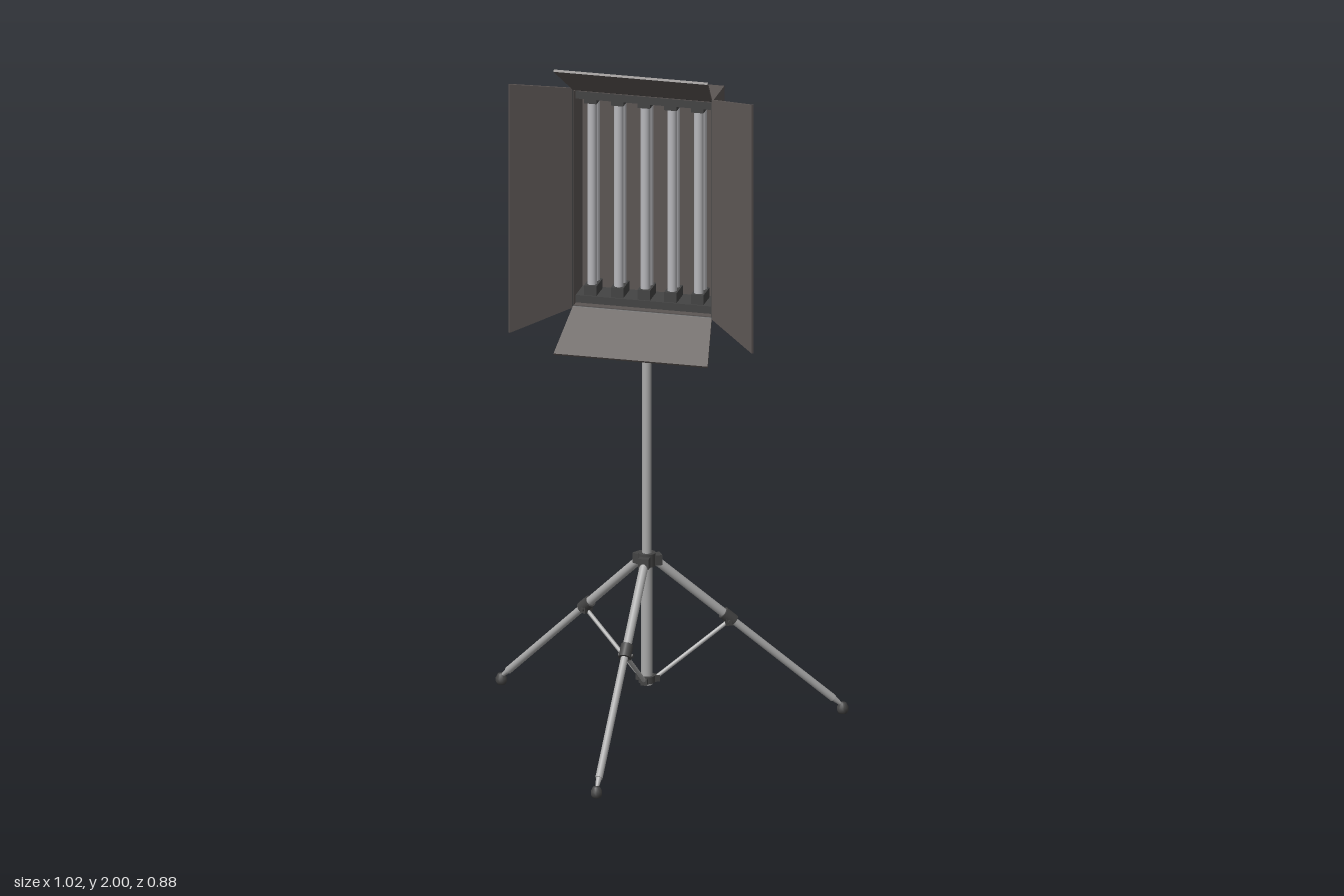
import * as THREE from 'three';

const paint = (color) => new THREE.MeshStandardMaterial({ color });
const BODY = paint(0x5c5654), STEEL = paint(0xaaaaaa), DARK = paint(0x444444), GLASS = paint(0xb8b8bc);
const V = (x, y, z) => new THREE.Vector3(x, y, z);
const AXIS_Z = -0.14; // the stand's column

function add(parent, name, geometry, material, x = 0, y = 0, z = 0) {
  const mesh = new THREE.Mesh(geometry, material);
  mesh.name = name;
  mesh.position.set(x, y, z);
  parent.add(mesh);
  return mesh;
}
const box = (p, name, mat, w, h, d, x, y, z) => add(p, name, new THREE.BoxGeometry(w, h, d), mat, x, y, z);

// Cylinder running from point a to point b
function rod(parent, name, mat, a, b, ra, rb = ra, sides = 16) {
  const geo = new THREE.CylinderGeometry(rb, ra, a.distanceTo(b), sides);
  const mesh = add(parent, name, geo, mat);
  mesh.position.copy(a).lerp(b, 0.5);
  mesh.quaternion.setFromUnitVectors(V(0, 1, 0), b.clone().sub(a).normalize());
  return mesh;
}

// One tripod leg, pointing along +z from the column
function makeLeg() {
  const leg = new THREE.Group();
  leg.name = 'leg';
  const top = V(0, 0.512, 0.018), foot = V(0, 0.022, 0.568);
  const at = (t) => top.clone().lerp(foot, t);
  rod(leg, 'upperLegTube', STEEL, top, at(0.42), 0.0125);
  rod(leg, 'lowerLegTube', STEEL, at(0.4), at(0.95), 0.0105);
  rod(leg, 'legTip', STEEL, at(0.95), at(0.99), 0.0085, 0.005);
  rod(leg, 'legClamp', DARK, at(0.37), at(0.425), 0.0175);
  box(leg, 'clampLug', DARK, 0.03, 0.022, 0.02, 0, 0.306, 0.236);
  rod(leg, 'clampBolt', DARK, V(-0.021, 0.306, 0.236), V(0.021, 0.306, 0.236), 0.006, 0.006, 8);
  rod(leg, 'brace', STEEL, V(0, 0.156, 0.024), V(0, 0.302, 0.234), 0.006, 0.006, 8);
  box(leg, 'hubBracket', DARK, 0.03, 0.03, 0.03, 0, 0.508, 0.026);
  box(leg, 'braceBracket', DARK, 0.018, 0.018, 0.02, 0, 0.156, 0.026);
  add(leg, 'rubberFoot', new THREE.LatheGeometry([
    [0, 0], [0.012, 0], [0.016, 0.008], [0.016, 0.018], [0.01, 0.03], [0, 0.033],
  ].map(([r, y]) => new THREE.Vector2(r, y)), 16), DARK, 0, 0, foot.z);
  return leg;
}

function makeStand() {
  const stand = new THREE.Group();
  stand.name = 'stand';
  stand.position.z = AXIS_Z;
  for (let i = 0; i < 3; i++) {
    const leg = makeLeg();
    leg.rotation.y = (i * Math.PI * 2) / 3;
    stand.add(leg);
  }
  rod(stand, 'lowerColumn', STEEL, V(0, 0.14, 0), V(0, 0.52, 0), 0.0165);
  rod(stand, 'upperColumn', STEEL, V(0, 0.5, 0), V(0, 1.13, 0), 0.0135);
  rod(stand, 'hub', DARK, V(0, 0.492, 0), V(0, 0.53, 0), 0.025);
  rod(stand, 'braceRing', DARK, V(0, 0.147, 0), V(0, 0.167, 0), 0.024);

  // Stacked collars that carry the lamp head
  const mount = [
    [0, 1.108], [0.034, 1.108], [0.034, 1.122], [0.041, 1.122], [0.041, 1.148], [0.03, 1.152],
    [0.02, 1.165], [0.02, 1.188], [0.036, 1.188], [0.036, 1.208], [0.022, 1.212],
    [0.022, 1.222], [0.029, 1.222], [0.029, 1.258], [0, 1.258],
  ].map(([r, y]) => new THREE.Vector2(r, y));
  const collar = new THREE.LatheGeometry(mount, 24).toNonIndexed();
  collar.computeVertexNormals();
  add(stand, 'mountCollars', collar, DARK);
  rod(stand, 'lockScrew', DARK, V(-0.035, 1.14, 0), V(-0.055, 1.14, 0), 0.007);
  rod(stand, 'lockKnob', DARK, V(-0.053, 1.14, 0), V(-0.066, 1.14, 0), 0.017, 0.017, 10);
  return stand;
}

function makeHead() {
  const head = new THREE.Group();
  head.name = 'lampHead';
  const W = 0.205, H = 0.325, cy = 1.58, back = -0.213, front = -0.09;

  // Open-fronted housing
  const rect = (C, w, h) => new C([[-w, -h], [w, -h], [w, h], [-w, h]].map(([x, y]) => new THREE.Vector2(x, y)));
  const frame = rect(THREE.Shape, W, H);
  frame.holes.push(rect(THREE.Path, W - 0.008, H - 0.008));
  add(head, 'housingWalls', new THREE.ExtrudeGeometry(frame, { depth: front - back, bevelEnabled: false }), BODY, 0, cy, back);
  box(head, 'housingBack', BODY, 2 * W - 0.01, 2 * H - 0.01, 0.03, 0, cy, back + 0.015);

  // Row of tubes between socket rails
  for (const s of [-1, 1]) {
    box(head, 'socketRail', DARK, 0.39, 0.022, 0.085, 0, cy + s * 0.302, -0.143);
  }
  for (let i = -2; i <= 2; i++) {
    const x = i * 0.077;
    rod(head, 'tube', GLASS, V(x, 1.3, -0.125), V(x, 1.865, -0.125), 0.0135);
    rod(head, 'rearTube', GLASS, V(x, 1.3, -0.16), V(x, 1.865, -0.16), 0.0135);
    box(head, 'lowerSocket', DARK, 0.036, 0.032, 0.07, x, 1.302, -0.14);
    box(head, 'upperSocket', DARK, 0.036, 0.016, 0.07, x, 1.865, -0.14);
  }

  // Four hinged flaps, each widening outwards
  const flap = (name, turn, reach, w0, w1, len, lean) => {
    const hinge = new THREE.Group();
    hinge.name = name;
    hinge.position.set(0, cy, front);
    hinge.rotation.z = turn;
    const shape = new THREE.Shape([[-w0, 0], [w0, 0], [w1, len], [-w1, len]].map(([x, y]) => new THREE.Vector2(x, y)));
    const geo = new THREE.ExtrudeGeometry(shape, { depth: 0.007, bevelEnabled: false });
    geo.translate(0, 0, -0.0035);
    add(hinge, 'flapPanel', geo, BODY, 0, reach - 0.002, 0).rotation.x = lean;
    rod(hinge, 'hingePin', DARK, V(-w0, reach - 0.002, 0), V(w0, reach - 0.002, 0), 0.004, 0.004, 8);
    head.add(hinge);
  };
  const leanV = Math.atan2(0.132, 0.097), leanH = Math.atan2(0.13, 0.148);
  flap('topFlap', 0, H, 0.2, 0.222, 0.164, leanV);
  flap('bottomFlap', Math.PI, H, 0.2, 0.222, 0.164, leanV);
  flap('leftFlap', -Math.PI / 2, W, 0.325, 0.368, 0.197, leanH);
  flap('rightFlap', Math.PI / 2, W, 0.325, 0.368, 0.197, leanH);

  // Side handle
  box(head, 'handleGrip', STEEL, 0.009, 0.2, 0.018, 0.231, 1.58, -0.174);
  for (const s of [-1, 1]) {
    box(head, 'handlePost', STEEL, 0.03, 0.012, 0.018, 0.218, 1.58 + s * 0.094, -0.174);
  }

  // Switch box on the back
  box(head, 'switchBox', DARK, 0.046, 0.072, 0.018, -0.155, 1.338, -0.221);
  box(head, 'switchRocker', BODY, 0.03, 0.05, 0.004, -0.155, 1.338, -0.231);
  return head;
}

export function createModel() {
  const model = new THREE.Group();
  model.name = 'studioLight';
  model.add(makeStand(), makeHead());
  return model;
}
